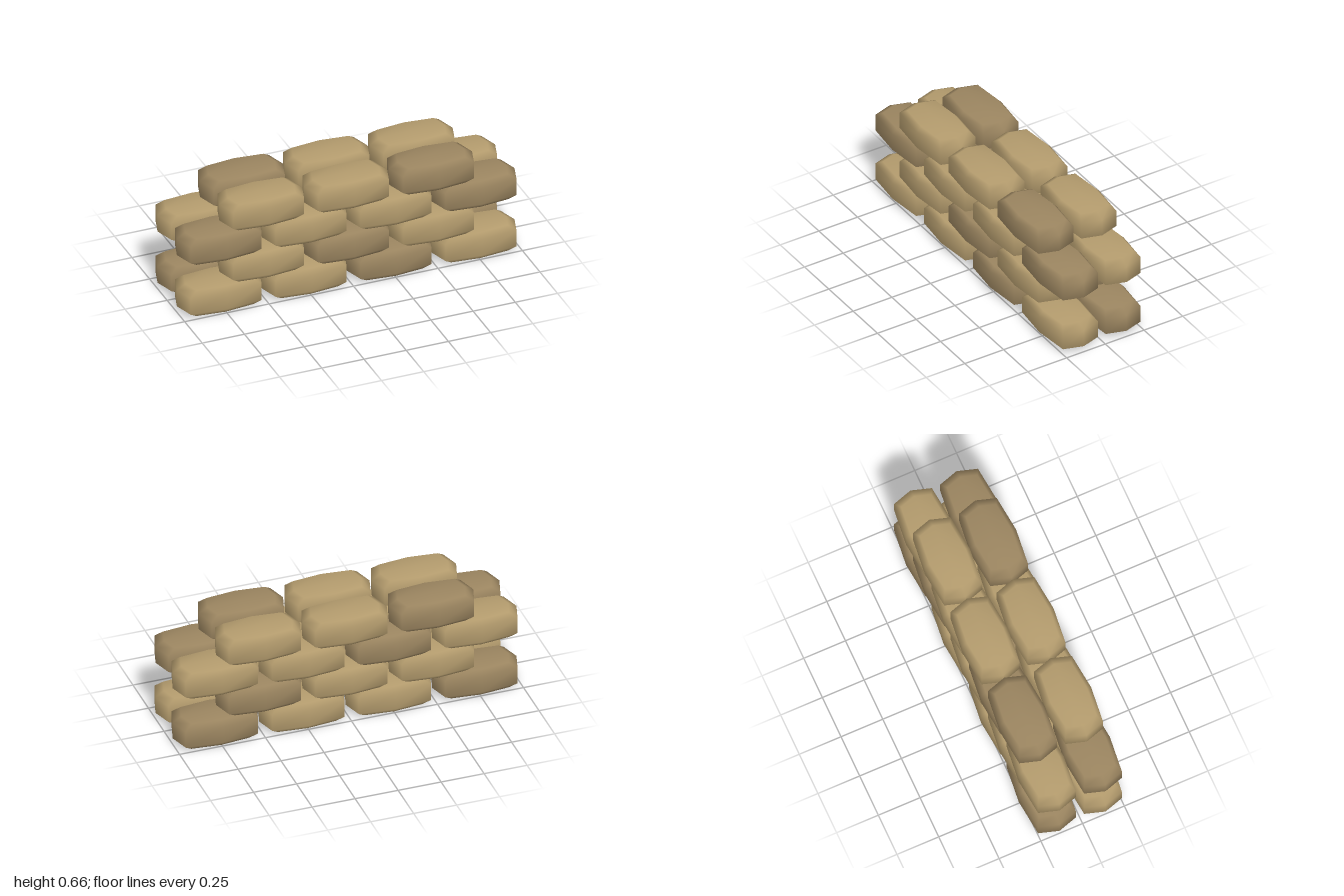
import * as THREE from 'three';
import { mergeVertices } from 'three/addons/utils/BufferGeometryUtils.js';

// One stuffed bag: a box with bulging faces and pulled-in, bevelled rims
function bagGeometry() {
  const box = new THREE.BoxGeometry(2, 2, 2, 2, 3, 2);
  box.deleteAttribute('uv');
  box.deleteAttribute('normal');
  const geo = mergeVertices(box);
  const p = geo.attributes.position;
  for (let i = 0; i < p.count; i++) {
    const x = Math.round(p.getX(i)), z = Math.round(p.getZ(i));
    const cap = Math.abs(p.getY(i)) > 0.9;
    const corner = x !== 0 && z !== 0;
    const centre = x === 0 && z === 0;
    const s = cap ? 0.8 : 1;
    const y = cap ? (centre ? 0.0875 : 0.081) : 0.051;
    p.setXYZ(i,
      x * (corner ? 0.21 : 0.245) * s,
      Math.sign(p.getY(i)) * y,
      z * (corner ? 0.113 : 0.135) * s);
  }
  geo.computeVertexNormals();
  return geo;
}

export function createModel() {
  const wall = new THREE.Group();
  wall.name = 'sandbagWall';
  const geo = bagGeometry();
  const light = new THREE.MeshStandardMaterial({ color: 0xb39b6d });
  const dark = new THREE.MeshStandardMaterial({ color: 0x9b8560 });

  // Two parallel walls, courses alternating four and three bags
  for (const side of [1, -1]) {
    const layer = new THREE.Group();
    layer.name = side > 0 ? 'frontLayer' : 'backLayer';
    for (let row = 0; row < 4; row++) {
      const count = row % 2 ? 3 : 4;
      for (let i = 0; i < count; i++) {
        const tone = (i + row + (side > 0 ? 0 : 2)) % 3;
        const bag = new THREE.Mesh(geo, tone === 2 ? dark : light);
        bag.name = 'sandbag';
        bag.position.set((i - (count - 1) / 2) * 0.503, 0.0895 + row * 0.1625, side * 0.138);
        layer.add(bag);
      }
    }
    wall.add(layer);
  }
  return wall;
}
